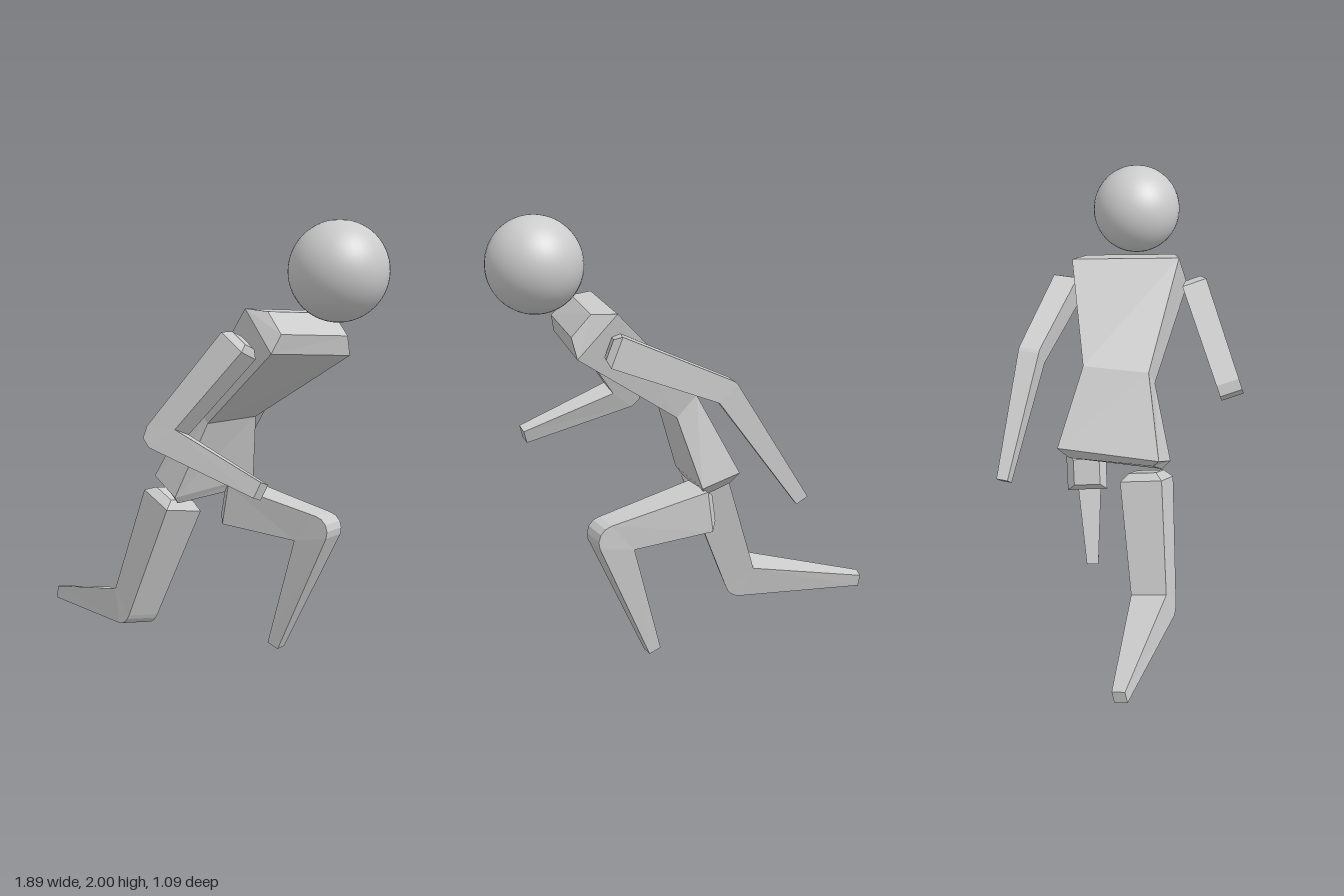
import * as THREE from 'three';

const V = (a) => new THREE.Vector3(...a);

// Skin four-cornered sections into a closed, flat-shaded solid
function loft(name, sections, material) {
  const pos = [];
  const tri = (a, b, c) => {
    const area = b.clone().sub(a).cross(c.clone().sub(a)).length();
    if (area > 1e-9) for (const p of [a, b, c]) pos.push(p.x, p.y, p.z);
  };
  for (let i = 0; i < sections.length - 1; i++) {
    const a = sections[i], b = sections[i + 1];
    for (let j = 0; j < 4; j++) {
      const k = (j + 1) % 4;
      tri(a[j], a[k], b[k]);
      tri(a[j], b[k], b[j]);
    }
  }
  const s = sections[0], e = sections[sections.length - 1];
  tri(s[0], s[2], s[1]);
  tri(s[0], s[3], s[2]);
  tri(e[0], e[1], e[2]);
  tri(e[0], e[2], e[3]);
  const geo = new THREE.BufferGeometry();
  geo.setAttribute('position', new THREE.Float32BufferAttribute(pos, 3));
  geo.computeVertexNormals();
  const mesh = new THREE.Mesh(geo, material);
  mesh.name = name;
  return mesh;
}

// Bent tapered limb. Sizes are [half depth in the bend plane, half width across it]
function limb({ name, start, joint, end, startSize, jointSize, endSize, steps, bevel }, material) {
  const A = V(start), J = V(joint), E = V(end);
  const d1 = J.clone().sub(A).normalize(), d2 = E.clone().sub(J).normalize();
  const n = d1.clone().cross(d2).normalize();
  const u1 = n.clone().cross(d1), u2 = n.clone().cross(d2);
  const angle = d1.angleTo(d2);
  const corner = (c, u, du, dn) => c.clone().addScaledVector(u, du).addScaledVector(n, dn);
  const rect = (c, u, [h, w]) => [
    corner(c, u, h, w), corner(c, u, -h, w), corner(c, u, -h, -w), corner(c, u, h, -w),
  ];
  const sections = [
    rect(A.clone().addScaledVector(d1, -bevel), u1, startSize.map((s) => s * 0.65)),
    rect(A, u1, startSize),
  ];
  // Sharp crease inside the joint, rounded outside
  const [r, w] = jointSize;
  const mid = u1.clone().add(u2).normalize();
  const inner = r / Math.cos(angle / 2);
  for (let i = 0; i <= steps; i++) {
    const u = u1.clone().applyAxisAngle(n, (angle * i) / steps);
    sections.push([
      corner(J, mid, inner, w), corner(J, u, -r, w), corner(J, u, -r, -w), corner(J, mid, inner, -w),
    ]);
  }
  sections.push(rect(E, u2, endSize));
  return loft(name, sections, material);
}

export function createModel() {
  const group = new THREE.Group();
  group.name = 'runner';
  const flat = new THREE.MeshStandardMaterial({ color: 0xcccccc, flatShading: true });
  const smooth = new THREE.MeshStandardMaterial({ color: 0xcccccc });

  const head = new THREE.Mesh(new THREE.SphereGeometry(0.213, 40, 28), smooth);
  head.name = 'head';
  head.position.set(0.727, 1.787, -0.03);
  group.add(head);

  // Torso sections: front right, front left, back left, back right
  const torso = [
    [[-0.01, 0.72, 0.18], [0.02, 0.735, -0.22], [-0.09, 0.79, -0.25], [-0.13, 0.79, 0.15]],
    [[0.01, 0.755, 0.22], [0.05, 0.785, -0.28], [-0.12, 0.85, -0.3], [-0.16, 0.83, 0.18]],
    [[0.13, 1.1, 0.13], [0.14, 1.1, -0.19], [0.05, 1.2, -0.2], [0.03, 1.19, 0.11]],
    [[0.59, 1.45, 0.24], [0.61, 1.41, -0.28], [0.44, 1.6, -0.31], [0.42, 1.63, 0.21]],
    [[0.61, 1.53, 0.2], [0.625, 1.5, -0.24], [0.54, 1.595, -0.25], [0.52, 1.62, 0.18]],
  ];
  group.add(loft('torso', torso.map((s) => s.map(V)), flat));

  const limbs = [
    {
      name: 'rightArm', bevel: 0.03, steps: 2,
      start: [0.455, 1.48, 0.29], joint: [0.185, 1.085, 0.475], end: [0.71, 0.92, 0.44],
      startSize: [0.07, 0.06], jointSize: [0.06, 0.055], endSize: [0.035, 0.03],
    },
    {
      name: 'leftArm', bevel: 0.03, steps: 2,
      start: [0.46, 1.45, -0.34], joint: [0.0, 1.265, -0.43], end: [-0.325, 0.77, -0.51],
      startSize: [0.07, 0.06], jointSize: [0.055, 0.05], endSize: [0.03, 0.027],
    },
    {
      name: 'rightLeg', bevel: 0.035, steps: 4,
      start: [-0.105, 0.71, 0.12], joint: [-0.305, 0.167, 0.18], end: [-0.943, 0.09, 0.1],
      startSize: [0.1, 0.1], jointSize: [0.08, 0.085], endSize: [0.03, 0.03],
    },
    {
      name: 'leftLeg', bevel: 0.035, steps: 4,
      start: [0.025, 0.675, -0.185], joint: [0.485, 0.605, -0.25], end: [0.268, 0.013, -0.2],
      startSize: [0.098, 0.095], jointSize: [0.072, 0.068], endSize: [0.03, 0.03],
    },
  ];
  for (const l of limbs) group.add(limb(l, flat));
  return group;
}
